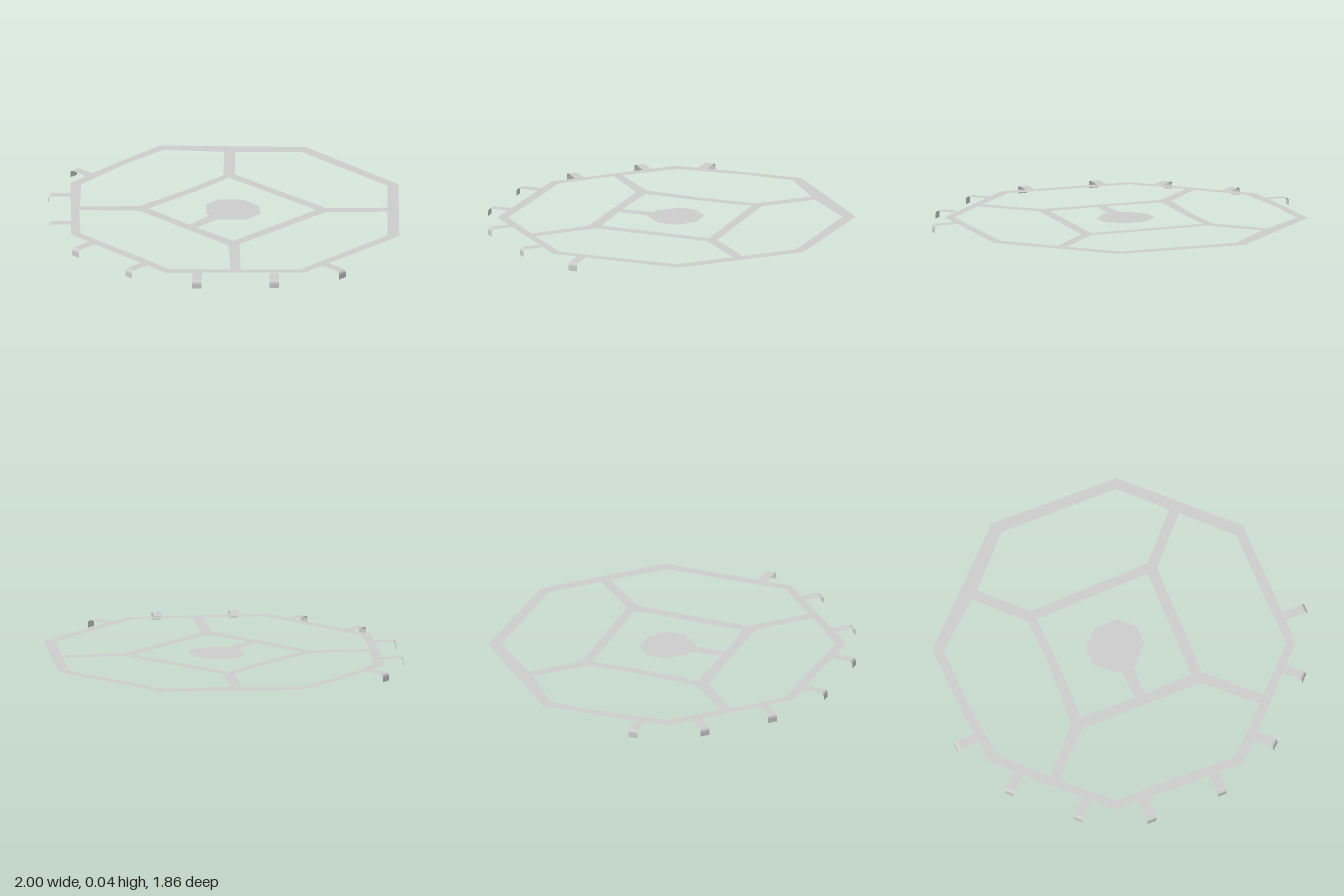
import * as THREE from 'three';

const TOP = 0.042; // height of the flat frame

// Closed outline from [x, z] pairs
const outline = (pts, Type) => new Type(pts.map(([x, z]) => new THREE.Vector2(x, -z)));

export function createModel() {
  const model = new THREE.Group();
  const grey = new THREE.MeshStandardMaterial({ color: 0xcccccc, side: THREE.DoubleSide });
  grey.name = 'grey';

  // Octagonal sheet with five openings; the centre one leaves a disc on a stem
  const rim = outline([
    [-0.356, -0.934], [0.35, -0.92], [0.864, -0.422], [0.874, 0.289],
    [0.361, 0.813], [-0.361, 0.797], [-0.874, 0.299], [-0.89, 0.13], [-0.903, -0.12], [-0.912, -0.401],
  ], THREE.Shape);
  const openings = {
    back: [[-0.329, -0.869], [0.324, -0.866], [0.54, -0.652], [0.318, -0.417], [-0.35, -0.401], [-0.57, -0.615]],
    right: [[0.58, -0.615], [0.81, -0.385], [0.826, 0.273], [0.607, 0.497], [0.353, 0.257], [0.355, -0.374]],
    front: [[0.324, 0.31], [0.57, 0.535], [0.34, 0.759], [-0.34, 0.749], [-0.575, 0.529], [-0.345, 0.31]],
    left: [[-0.612, -0.578], [-0.388, -0.353], [-0.377, -0.09], [-0.393, 0.267], [-0.607, 0.492],
      [-0.821, 0.273], [-0.858, -0.09], [-0.858, -0.374]],
    centre: [[-0.34, -0.348], [0.297, -0.364], [0.297, 0.246], [0.029, 0.257], [0.029, 0.088],
      [0.045, 0.088], [0.136, -0.013], [0.133, -0.115], [0.05, -0.187], [-0.078, -0.187],
      [-0.163, -0.102], [-0.163, -0.005], [-0.067, 0.088], [-0.04, 0.088], [-0.024, 0.257],
      [-0.334, 0.251], [-0.329, -0.08]],
  };
  for (const pts of Object.values(openings)) rim.holes.push(outline(pts, THREE.Path));
  const frame = new THREE.Mesh(new THREE.ShapeGeometry(rim).rotateX(-Math.PI / 2), grey);
  frame.name = 'frame';
  frame.position.set(0.003, TOP, 0.006);
  model.add(frame);

  // Narrow strip that runs outward and curls down to the ground
  function hook(x0, z0, x1, z1) {
    const length = Math.hypot(x1 - x0, z1 - z0), curl = 0.018, steps = 6;
    const profile = [[0, TOP]];
    for (let i = 0; i <= steps; i++) {
      const a = (i / steps) * Math.PI / 2;
      profile.push([length - curl + curl * Math.sin(a), TOP - curl + curl * Math.cos(a)]);
    }
    profile.push([length, 0]);
    const geo = new THREE.PlaneGeometry(0.05, 1, 1, profile.length - 1);
    const pos = geo.attributes.position;
    for (let i = 0; i < pos.count; i++) {
      const [out, y] = profile[Math.floor(i / 2)];
      pos.setXYZ(i, pos.getX(i), y, out);
    }
    geo.computeVertexNormals();
    const mesh = new THREE.Mesh(geo, grey);
    mesh.name = 'hook';
    mesh.position.set(x0, 0, z0);
    mesh.rotation.y = Math.atan2(x1 - x0, z1 - z0);
    model.add(mesh);
  }
  [
    [-0.884, 0.155, -1, 0.155], [-0.754, 0.418, -0.837, 0.499],
    [-0.47, 0.685, -0.559, 0.77], [-0.2, 0.806, -0.2, 0.927],
    [0.2, 0.814, 0.2, 0.927], [0.482, 0.696, 0.563, 0.781],
    [0.77, 0.412, 0.845, 0.487], [0.873, 0.135, 1, 0.135],
  ].forEach((h) => hook(...h));

  return model;
}
